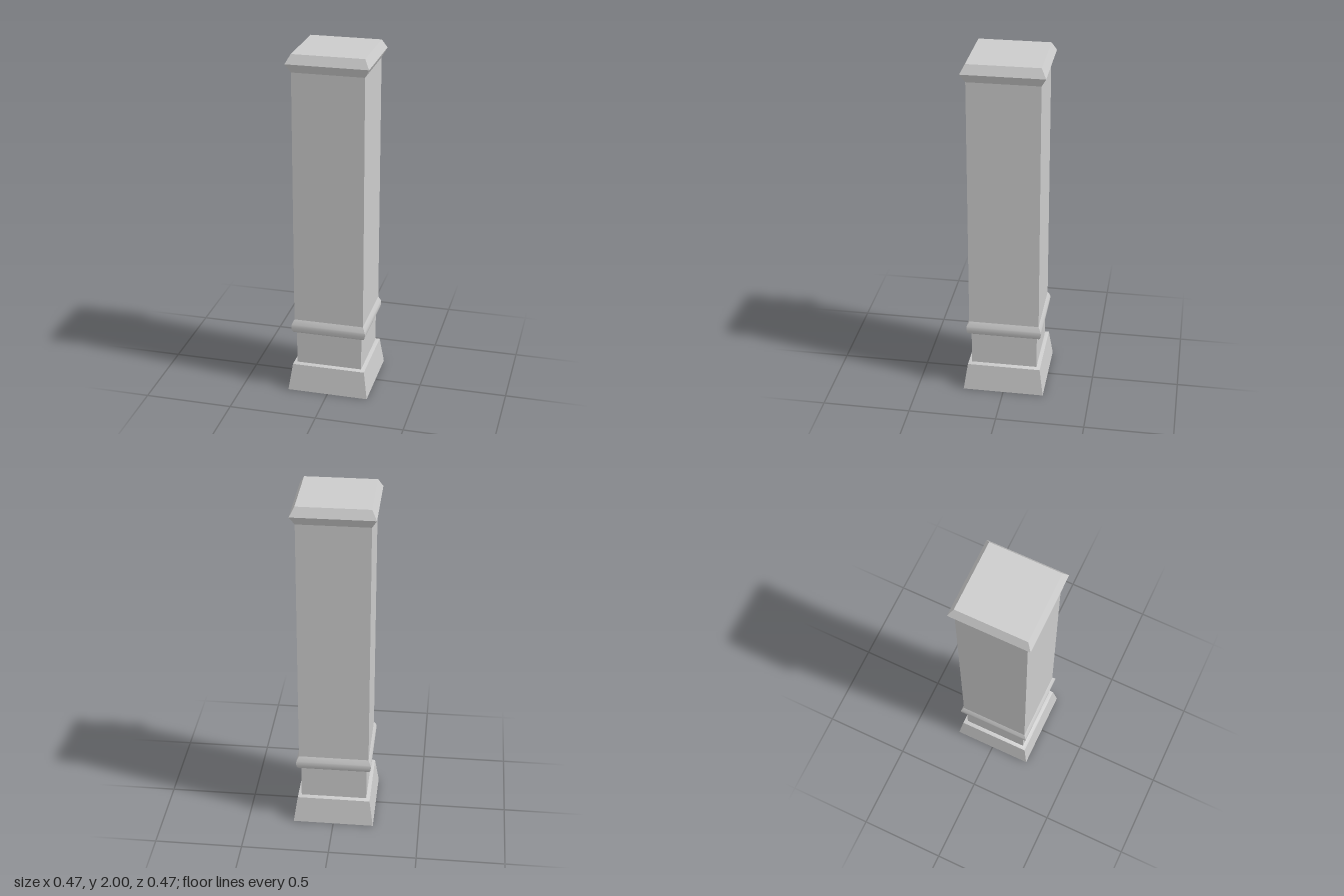
import * as THREE from 'three';
import { toCreasedNormals } from 'three/addons/utils/BufferGeometryUtils.js';

// Square moulding: sweeps a [halfWidth, y] profile around four mitred sides
function squareLathe(name, profile, material) {
  const points = profile.map(([w, y]) => new THREE.Vector2(w * Math.SQRT2, y));
  const geometry = new THREE.LatheGeometry(points, 4, Math.PI / 4);
  const mesh = new THREE.Mesh(toCreasedNormals(geometry, 0.65), material);
  mesh.name = name;
  return mesh;
}

export function createModel() {
  const group = new THREE.Group();
  group.name = 'squareColumn';
  const material = new THREE.MeshStandardMaterial({ color: 0xcccccc });

  // Rounded band: half-round nose with a gentle slope up to the shaft
  const band = [[0.189, 0.362]];
  for (let i = 0; i <= 8; i++) {
    const a = -Math.PI / 2 + (i / 8) * (Math.PI / 2 + 0.4);
    band.push([0.198 + 0.017 * Math.cos(a), 0.4 + 0.038 * Math.sin(a)]);
  }
  band.push([0.2, 0.443]);

  const parts = {
    // Tapered foot with closed underside and a narrow sloping ledge
    plinth: [[0, 0], [0.233, 0], [0.21, 0.158], [0.189, 0.165]],
    neck: [[0.189, 0.165], [0.189, 0.362]],
    band,
    shaft: [[0.2, 0.443], [0.2, 1.9]],
    // Bevelled cap, flaring out and back in to a flat top
    cap: [[0.2, 1.9], [0.227, 1.95], [0.2, 2], [0, 2]],
  };
  for (const [name, profile] of Object.entries(parts)) {
    group.add(squareLathe(name, profile, material));
  }
  return group;
}
